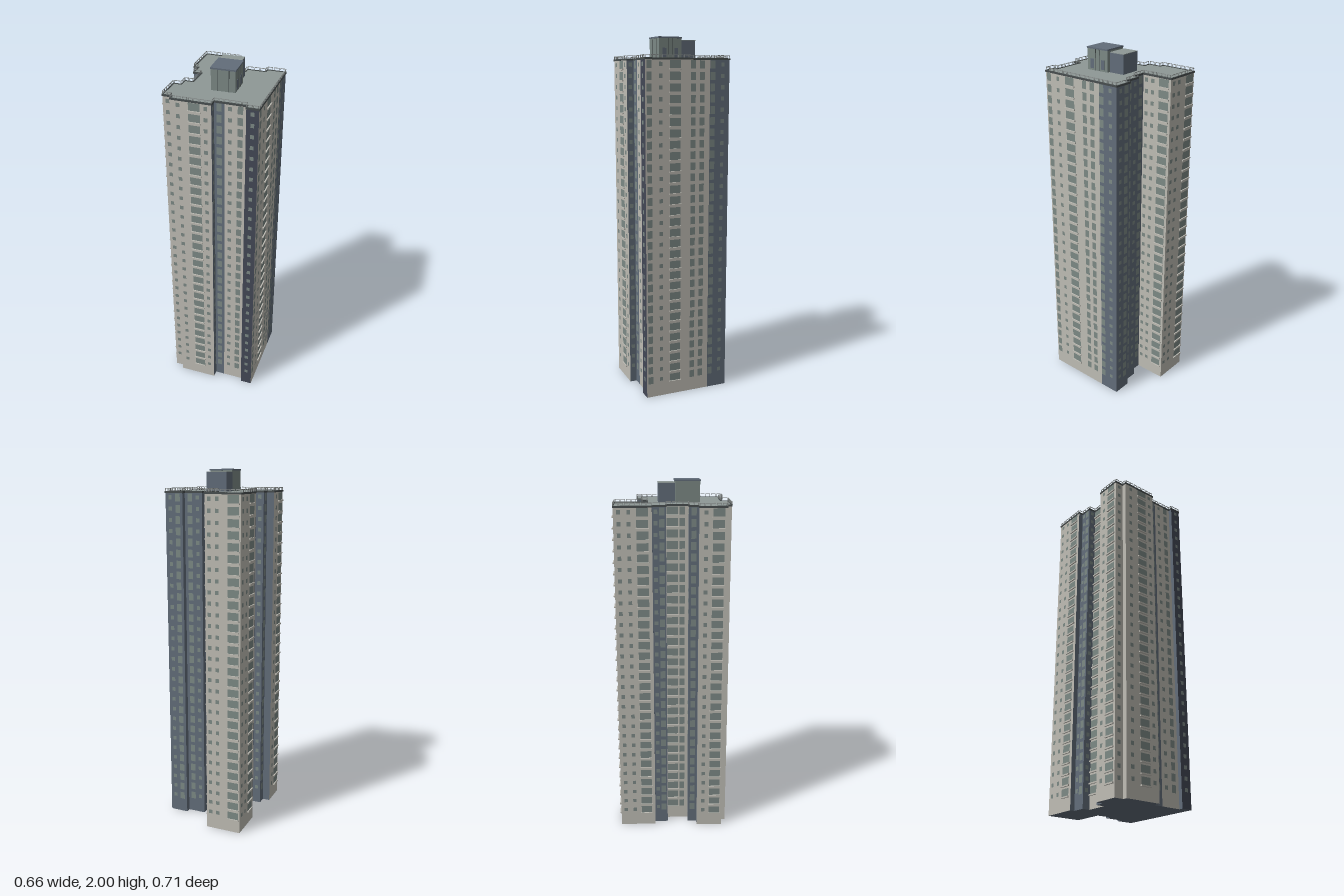
import * as THREE from 'three';
import { mergeGeometries } from 'three/addons/utils/BufferGeometryUtils.js';

const mat = (name, color) => {
  const m = new THREE.MeshStandardMaterial({ color });
  m.name = name;
  return m;
};

const ROOF = 1.88, BASE = 0.07, FLOORS = 30, STEP = (ROOF - BASE) / FLOORS;

// window types: [width, height, has ledge]
const S = [0.02, 0.022, false], M = [0.028, 0.042, false], W = [0.062, 0.042, true];

// plan corners: x, z, wall colour of the edge that starts here, window columns [fraction along edge, type]
const PLAN = [
  [0.352, -0.225, 'light', [[0.2, W], [0.66, S], [0.88, S]]],
  [0.352, -0.024, 'light', [[0.25, W], [0.65, S], [0.88, S]]],
  [0.174, -0.024, 'slate', [[0.3, M], [0.72, S]]],
  [0.174, 0.06, 'slate', []],
  [0.207, 0.06, 'slate', [[0.25, S], [0.7, M]]],
  [0.207, 0.162, 'slate', []],
  [0.236, 0.162, 'slate', [[0.28, M], [0.72, S]]],
  [0.236, 0.264, 'slate', [[0.35, S], [0.86, M]]],
  [0.12, 0.264, 'light', [[0.125, M], [0.265, M], [0.543, W], [0.767, S], [0.94, M]]],
  [-0.254, 0.264, 'navy', [[0.5, S]]],
  [-0.254, 0.199, 'slate', []],
  [-0.231, 0.199, 'light', [[0.3, M], [0.75, S]]],
  [-0.231, 0.08, 'slate', [[0.5, M]]],
  [-0.231, 0.026, 'slate', [[0.5, S]]],
  [-0.27, 0.026, 'light', [[0.14, S], [0.42, W], [0.82, S]]],
  [-0.27, -0.189, 'light', []],
  [-0.243, -0.189, 'light', [[0.5, S]]],
  [-0.243, -0.242, 'light', [[0.3, W], [0.75, S]]],
  [-0.096, -0.242, 'slate', []],
  [-0.096, -0.2, 'slate', [[0.5, M]]],
  [-0.045, -0.2, 'slate', [[0.5, S]]],
  [-0.045, -0.154, 'light', [[0.28, M], [0.72, W]]],
  [0.076, -0.154, 'slate', [[0.5, S]]],
  [0.076, -0.198, 'slate', [[0.3, M], [0.75, S]]],
  [0.15, -0.198, 'slate', []],
  [0.15, -0.225, 'light', [[0.25, W], [0.6, S], [0.86, S]]],
];

export function createModel() {
  const model = new THREE.Group();
  model.name = 'towerBlock';
  const tower = new THREE.Group();
  tower.name = 'tower';
  tower.rotation.y = THREE.MathUtils.degToRad(26);
  model.add(tower);

  const mats = {
    light: mat('pale render', 0xbebcb4),
    slate: mat('slate cladding', 0x626d7a),
    navy: mat('dark cladding', 0x434856),
    glass: mat('window grey green', 0x7c8985),
    roof: mat('roof grey', 0x8e9896),
    coping: mat('dark coping', 0x484e4f),
    rail: mat('railing grey', 0x8a8f8e),
  };
  const add = (name, geo, m, parent = tower) => {
    const mesh = new THREE.Mesh(geo, mats[m]);
    mesh.name = name;
    parent.add(mesh);
    return mesh;
  };

  const walls = { light: [], slate: [], navy: [] };
  const windows = [], ledges = [], coping = [], rails = [];

  PLAN.forEach(([x0, z0, colour, columns], i) => {
    const [x1, z1] = PLAN[(i + 1) % PLAN.length];
    const len = Math.hypot(x1 - x0, z1 - z0);
    const dx = (x1 - x0) / len, dz = (z1 - z0) / len;
    const nx = dz, nz = -dx, turn = Math.atan2(nx, nz);
    // put a geometry at distance t along the edge, height y, offset out from the wall
    const place = (geo, t, y, out) =>
      geo.rotateY(turn).translate(x0 + dx * t + nx * out, y, z0 + dz * t + nz * out);

    walls[colour].push(place(new THREE.PlaneGeometry(len, ROOF), len / 2, ROOF / 2, 0));

    // window columns repeated on each floor
    for (const [f, [w, h, ledge]] of columns) {
      for (let k = 0; k < FLOORS; k++) {
        const y = BASE + (k + 0.5) * STEP;
        windows.push(place(new THREE.PlaneGeometry(w, h), f * len, y, 0.0015));
        if (ledge) ledges.push(place(new THREE.BoxGeometry(w + 0.006, 0.008, 0.01), f * len, y - h / 2 - 0.004, 0.003));
      }
    }

    // roof edge with dashed railing
    coping.push(place(new THREE.BoxGeometry(len + 0.006, 0.01, 0.006), len / 2, ROOF - 0.002, 0));
    const n = Math.max(1, Math.round(len / 0.03));
    for (let k = 0; k < n; k++) {
      const t = (k + 0.5) * len / n;
      rails.push(place(new THREE.BoxGeometry(len / n * 0.8, 0.003, 0.003), t, 1.897, 0.001));
      rails.push(place(new THREE.BoxGeometry(0.002, 0.016, 0.002), t - len / n * 0.38, 1.889, 0.001));
      rails.push(place(new THREE.BoxGeometry(0.002, 0.016, 0.002), t + len / n * 0.38, 1.889, 0.001));
    }
  });

  for (const key in walls) add(key + 'Walls', mergeGeometries(walls[key]), key);
  add('windows', mergeGeometries(windows), 'glass');
  add('windowLedges', mergeGeometries(ledges), 'light');
  add('roofCoping', mergeGeometries(coping), 'coping');
  add('roofRailing', mergeGeometries(rails), 'rail');

  // roof deck and underside
  const plan = (s) => new THREE.Shape(PLAN.map(([x, z]) => new THREE.Vector2(x, z * s)));
  add('roofDeck', new THREE.ShapeGeometry(plan(-1)).rotateX(-Math.PI / 2).translate(0, ROOF, 0), 'roof');
  add('underside', new THREE.ShapeGeometry(plan(1)).rotateX(Math.PI / 2), 'slate');

  // rooftop plant rooms
  const house = new THREE.Group();
  house.name = 'plantRooms';
  house.rotation.y = THREE.MathUtils.degToRad(2);
  tower.add(house);
  const box = (name, x, y, z, w, h, d, m) =>
    add(name, new THREE.BoxGeometry(w, h, d).translate(x, y, z), m, house);
  box('tallPlantRoom', -0.044, 1.936, 0.028, 0.134, 0.112, 0.129, 'glass');
  box('tallPlantRoomCap', -0.044, 1.996, 0.028, 0.14, 0.008, 0.135, 'slate');
  box('lowPlantRoom', 0.071, 1.931, 0.018, 0.09, 0.102, 0.117, 'slate');
  box('lowPlantRoomCap', 0.072, 1.9835, 0.018, 0.09, 0.003, 0.117, 'roof');
  for (const s of [-1, 1]) {
    box('plantRoomDoor', -0.044 + s * 0.035, 1.915, 0.0925, 0.022, 0.05, 0.003, 'slate');
    box('plantRoomRib', -0.044 + s * 0.012, 1.936, 0.0925, 0.003, 0.112, 0.003, 'coping');
    box('plantRoomSideRib', -0.111, 1.936, 0.028 + s * 0.03, 0.003, 0.112, 0.003, 'coping');
  }
  return model;
}
